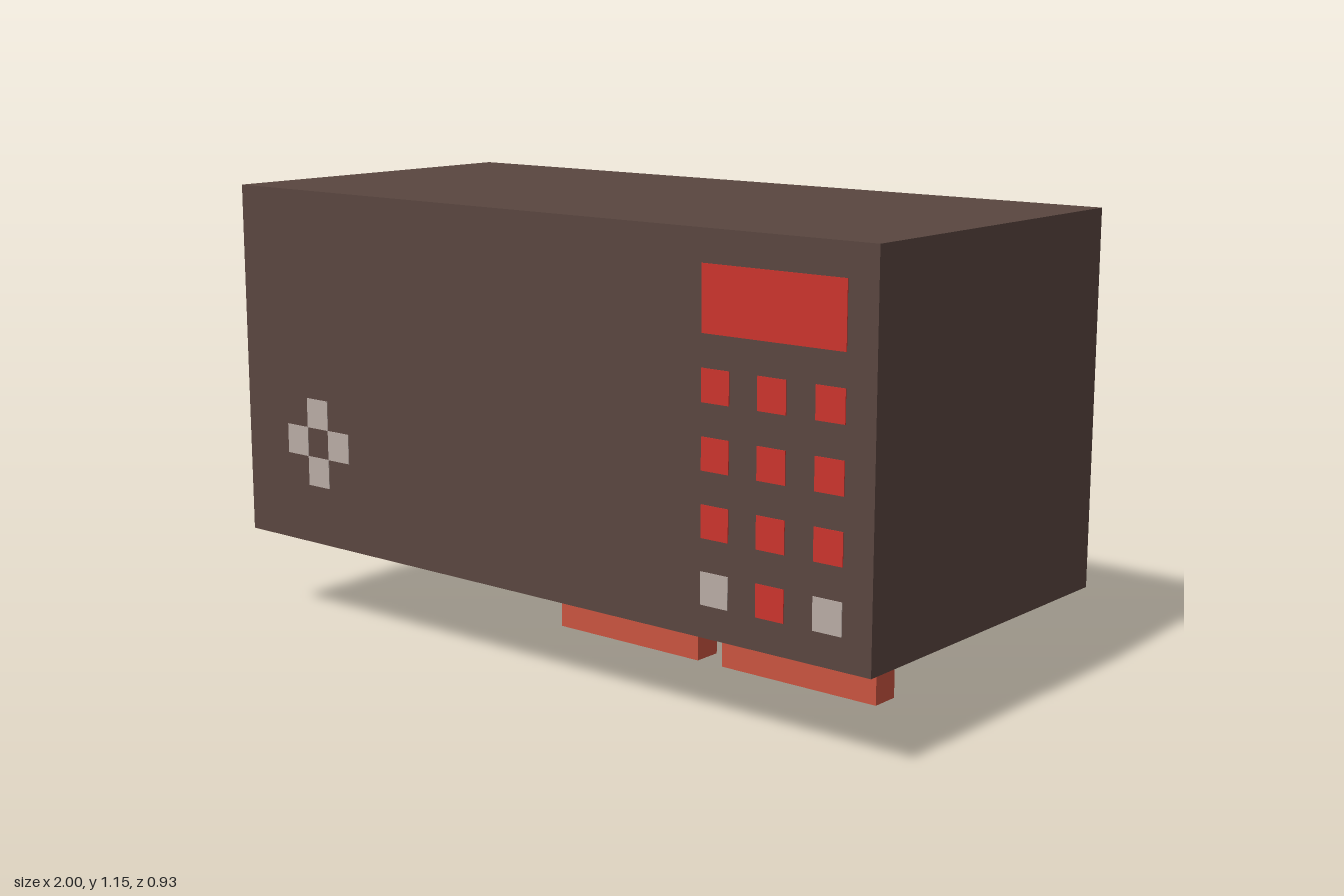
import * as THREE from 'three';

const U = 2 / 26; // one grid cell

const material = (name, color) => {
  const m = new THREE.MeshStandardMaterial({ color });
  m.name = name;
  return m;
};

export function createModel() {
  const brown = material('brown casing', 0x5a4640);
  const red = material('red buttons', 0xcb342d);
  const beige = material('pale buttons', 0xb9aba5);
  const coral = material('coral frame', 0xc95440);
  const white = material('lens white', 0xc9c9c9);
  const black = material('lens black', 0x0c0c0c);

  const model = new THREE.Group();
  model.name = 'microwave';

  // Box given by its grid-cell extents in x and y, centred on z
  const block = (parent, name, mat, x0, x1, y0, y1, depth, z = 0) => {
    const mesh = new THREE.Mesh(
      new THREE.BoxGeometry((x1 - x0) * U, (y1 - y0) * U, depth), mat);
    mesh.position.set((x0 + x1) / 2 * U, (y0 + y1) / 2 * U, z);
    mesh.name = name;
    parent.add(mesh);
  };

  // Casing
  block(model, 'casing', brown, -13, 13, 3, 15, 12 * U);

  // Painted details on the front face
  const plate = (parent, name, mat, x, y, w = 1, h = 1) =>
    block(parent, name, mat, x, x + w, y, y + h, 0.004, 6 * U);

  const keypad = new THREE.Group();
  keypad.name = 'keypad';
  model.add(keypad);
  plate(keypad, 'display', red, 7, 12, 5, 2);
  for (const y of [4, 6, 8, 10]) {
    for (const x of [7, 9, 11]) {
      plate(keypad, 'button', y === 4 && x !== 9 ? beige : red, x, y);
    }
  }

  const vent = new THREE.Group();
  vent.name = 'doorMark';
  model.add(vent);
  for (const [dx, dy] of [[0, 1], [0, -1], [1, 0], [-1, 0]]) {
    plate(vent, 'markSquare', beige, -10 + dx, 6 + dy);
  }

  // Glasses, partly sunk into the casing
  const glasses = new THREE.Group();
  glasses.name = 'glasses';
  model.add(glasses);
  for (const x of [-3.5, 3.5]) {
    block(glasses, 'rimBottom', coral, x, x + 6, 0, 1, U);
    block(glasses, 'rimTop', coral, x, x + 6, 5, 6, U);
    block(glasses, 'rimRight', coral, x, x + 1, 1, 5, U);
    block(glasses, 'rimLeft', coral, x + 5, x + 6, 1, 5, U);
    block(glasses, 'lensWhite', white, x + 1, x + 3, 1, 5, U);
    block(glasses, 'lensBlack', black, x + 3, x + 5, 1, 5, U);
  }
  // Bridges sit a hair below the casing so their undersides show
  block(glasses, 'bridge', coral, 2.5, 3.5, 2.98, 4, U);
  block(glasses, 'templeBar', coral, -6.5, -3.5, 2.98, 4, U);
  block(glasses, 'templeTip', coral, -6.5, -5.5, 1, 3, U);

  return model;
}
